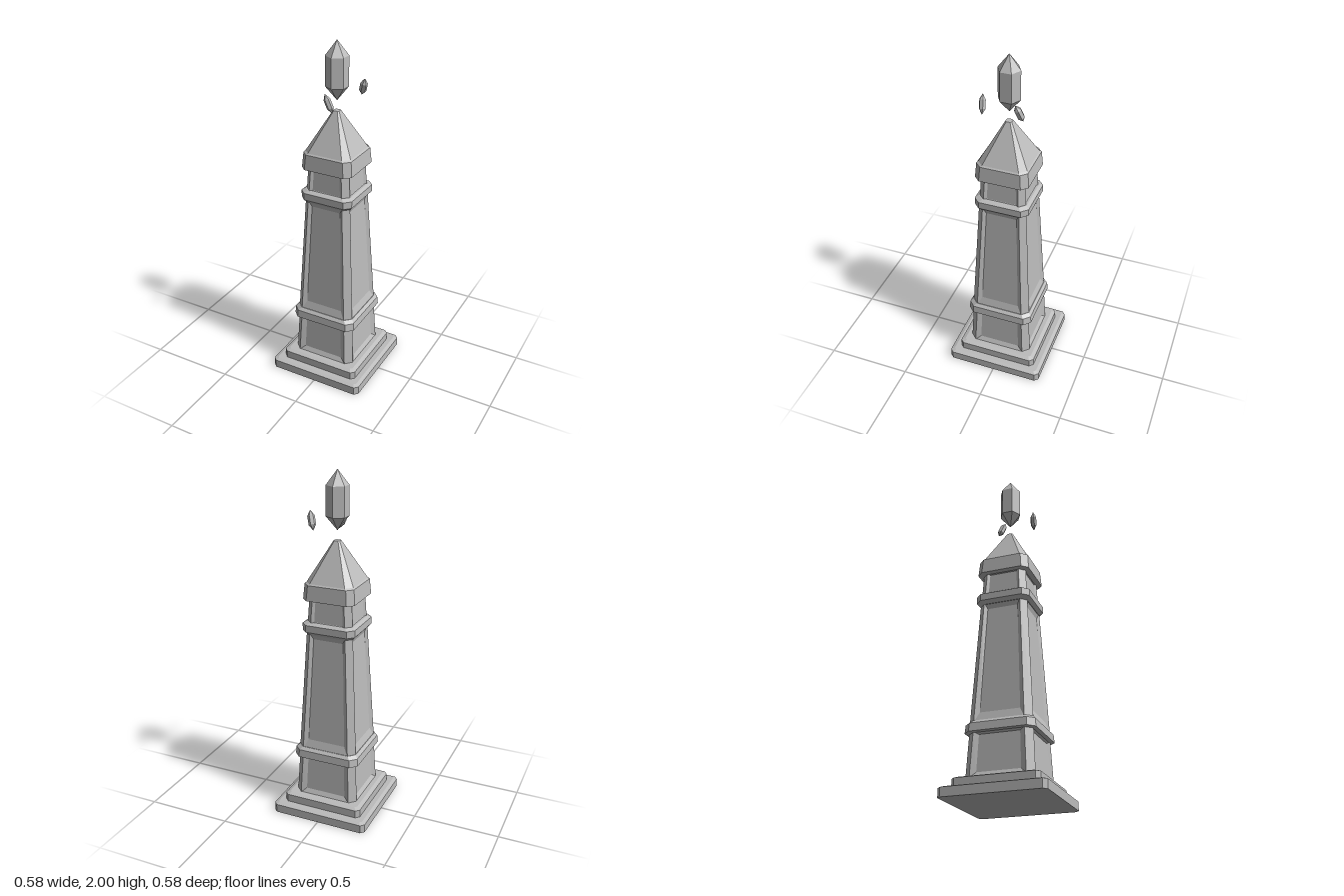
import * as THREE from 'three';

// Eight corners of a square with cut corners: half width h, cut c
function ring([y, h, c]) {
  const k = h - c;
  return [[h, -k], [h, k], [k, h], [-k, h], [-h, k], [-h, -k], [-k, -h], [k, -h]]
    .map(([x, z]) => new THREE.Vector3(x, y, z));
}

function meshFrom(name, tris, material) {
  const geo = new THREE.BufferGeometry().setFromPoints(tris);
  geo.computeVertexNormals();
  const mesh = new THREE.Mesh(geo, material);
  mesh.name = name;
  return mesh;
}

const quad = (out, a, b, c, d) => out.push(a, b, c, a, c, d);

// Side quad with a recessed panel whose rim slopes inward
function recessed(out, corners, { side, low, high, depth }) {
  const [a, b, c, d] = corners;
  const normal = b.clone().sub(a).cross(d.clone().sub(a)).normalize();
  const at = (u, v) => a.clone().lerp(d, u).lerp(b.clone().lerp(c, u), v).addScaledVector(normal, -depth);
  const inner = [at(side, low), at(side, 1 - high), at(1 - side, 1 - high), at(1 - side, low)];
  for (let k = 0; k < 4; k++) {
    const n = (k + 1) % 4;
    quad(out, corners[k], corners[n], inner[n], inner[k]);
  }
  quad(out, ...inner);
}

// Stacks cut-corner squares into a closed solid, with optional panels on the four sides
function tower(name, levels, material, panel) {
  const rings = levels.map(ring);
  const out = [];
  for (let l = 0; l < rings.length - 1; l++) {
    for (let i = 0; i < 8; i++) {
      const j = (i + 1) % 8;
      const corners = [rings[l][i], rings[l + 1][i], rings[l + 1][j], rings[l][j]];
      if (panel && i % 2 === 0) recessed(out, corners, panel);
      else quad(out, ...corners);
    }
  }
  const bottom = rings[0], top = rings[rings.length - 1];
  for (let i = 1; i < 7; i++) {
    out.push(bottom[0], bottom[i], bottom[i + 1]);
    out.push(top[0], top[i + 1], top[i]);
  }
  return meshFrom(name, out, material);
}

// Six-sided crystal with a point at each end, running from one tip to the other
function crystal(name, from, to, radius, lowTip, highTip, material) {
  const a = new THREE.Vector3(...from), b = new THREE.Vector3(...to);
  const len = a.distanceTo(b);
  const profile = [[0, 0], [radius, lowTip * len], [radius, (1 - highTip) * len], [0, len]]
    .map(([x, y]) => new THREE.Vector2(x, y));
  const geo = new THREE.LatheGeometry(profile, 6).toNonIndexed();
  geo.computeVertexNormals();
  const mesh = new THREE.Mesh(geo, material);
  mesh.name = name;
  mesh.position.copy(a);
  mesh.quaternion.setFromUnitVectors(new THREE.Vector3(0, 1, 0), b.sub(a).normalize());
  return mesh;
}

export function createModel() {
  const group = new THREE.Group();
  group.name = 'crystalObelisk';
  const stone = new THREE.MeshStandardMaterial({ color: 0xbcbcbc });
  stone.name = 'stone grey';

  group.add(
    // Stepped base
    tower('baseSlab', [[0, 0.289, 0.021], [0.05, 0.289, 0.021], [0.058, 0.268, 0.012]], stone),
    tower('upperStep', [[0.056, 0.238, 0.021], [0.104, 0.238, 0.021], [0.113, 0.215, 0.012]], stone),

    // Tapered shaft sections with sunken panels
    tower('plinth', [[0.11, 0.19, 0.037], [0.355, 0.178, 0.037]], stone,
      { side: 0.1, low: 0.12, high: 0.06, depth: 0.014 }),
    tower('shaft', [[0.405, 0.177, 0.037], [1.115, 0.139, 0.033]], stone,
      { side: 0.09, low: 0.08, high: 0.05, depth: 0.014 }),
    tower('neck', [[1.165, 0.135, 0.033], [1.31, 0.127, 0.033]], stone,
      { side: 0.08, low: 0.1, high: 0.08, depth: 0.01 }),

    // Moulded bands
    tower('lowerBand', [[0.35, 0.182, 0.035], [0.353, 0.197, 0.037], [0.398, 0.193, 0.036], [0.415, 0.177, 0.035]], stone),
    tower('upperBand', [[1.105, 0.139, 0.033], [1.125, 0.157, 0.035], [1.165, 0.157, 0.035], [1.176, 0.139, 0.033]], stone),

    // Pointed cap
    tower('cap', [[1.303, 0.128, 0.033], [1.305, 0.153, 0.034], [1.392, 0.146, 0.034],
      [1.4, 0.138, 0.035], [1.62, 0.018, 0.007]], stone),

    // Floating crystals
    crystal('mainCrystal', [0, 1.675, 0], [0, 2, 0], 0.063, 0.235, 0.255, stone),
    crystal('leftShard', [0.091, 1.688, -0.109], [0.124, 1.79, -0.078], 0.02, 0.28, 0.28, stone),
    crystal('frontShard', [0.047, 1.652, 0.134], [0.006, 1.755, 0.143], 0.018, 0.28, 0.28, stone),
  );
  return group;
}
